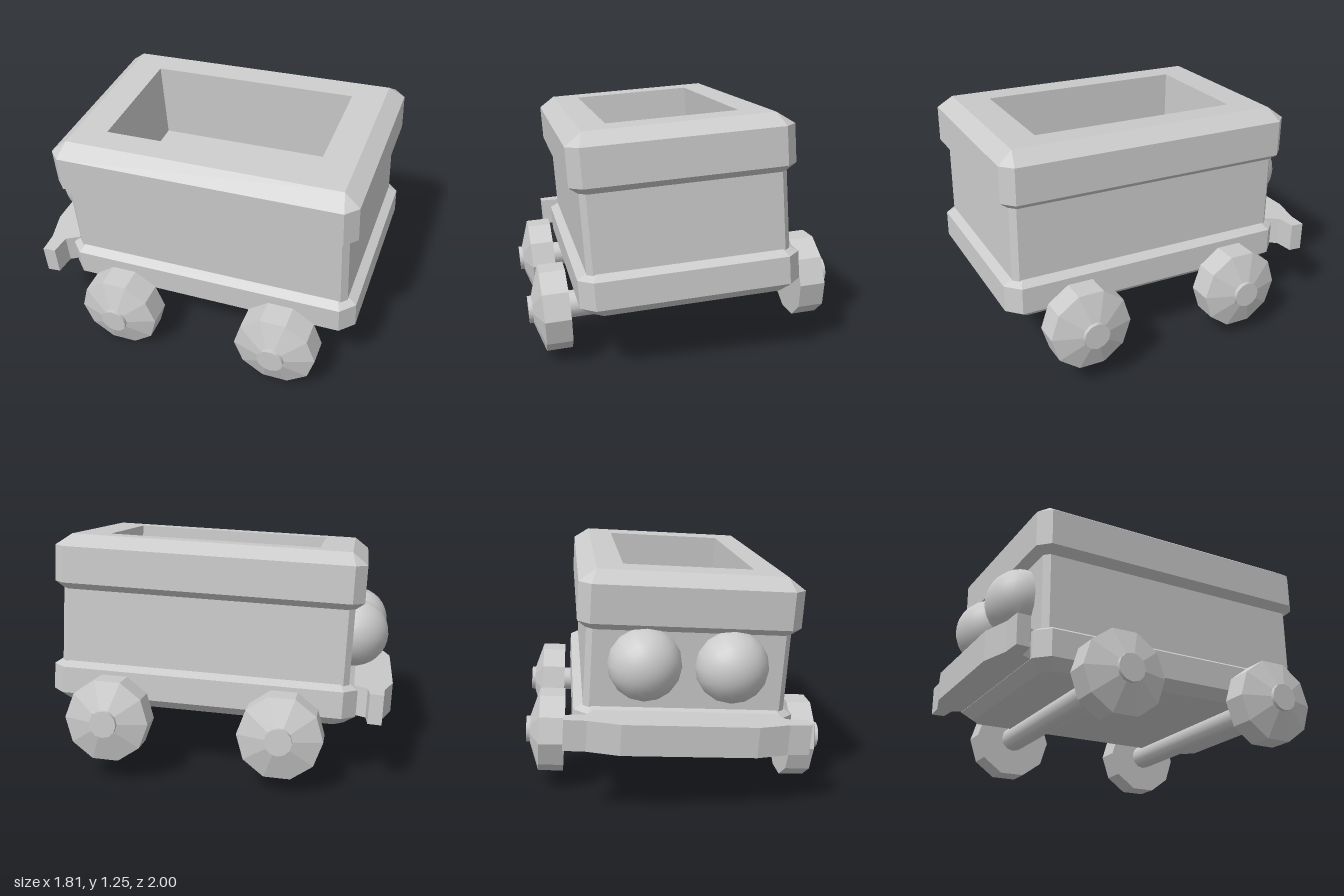
import * as THREE from 'three';

const flat = new THREE.MeshStandardMaterial({ color: 0xcccccc, flatShading: true });
const smooth = new THREE.MeshStandardMaterial({ color: 0xcccccc });

function part(name, geometry, material, parent) {
  const mesh = new THREE.Mesh(geometry, material);
  mesh.name = name;
  parent.add(mesh);
  return mesh;
}

// Rectangle with cut corners: half width, half length, corner cut, height
function ring([w, d, c, y]) {
  return [
    [w, d - c], [w - c, d], [c - w, d], [-w, d - c],
    [-w, c - d], [c - w, -d], [w - c, -d], [w, c - d],
  ].map(([x, z]) => [x, y, z]);
}

// Skin between successive cut-corner rectangles
function loft(sections) {
  const rings = sections.map(ring);
  const pos = [];
  for (let i = 0; i < rings.length - 1; i++) {
    for (let j = 0; j < 8; j++) {
      const k = (j + 1) % 8;
      const a = rings[i][j], b = rings[i][k], c = rings[i + 1][j], d = rings[i + 1][k];
      pos.push(...a, ...c, ...b, ...b, ...c, ...d);
    }
  }
  const g = new THREE.BufferGeometry();
  g.setAttribute('position', new THREE.Float32BufferAttribute(pos, 3));
  g.computeVertexNormals();
  return g;
}

export function createModel() {
  const model = new THREE.Group();
  model.name = 'mineCart';
  const cart = new THREE.Group();
  cart.name = 'cart';
  cart.position.set(0, 0.27, 0.08);
  cart.rotation.set(-0.042, 0.311, 0.061, 'YXZ');
  model.add(cart);

  // Bevelled chassis slab
  part('chassis', loft([
    [0, 0, 0, 0.03], [0.49, 0.75, 0.05, 0.03], [0.55, 0.81, 0.07, 0.08],
    [0.55, 0.81, 0.07, 0.22], [0.5, 0.76, 0.04, 0.25], [0, 0, 0, 0.25],
  ]), flat, cart);

  // Straight walls
  part('body', loft([[0.505, 0.765, 0.03, 0.22], [0.505, 0.765, 0.03, 0.66]]), flat, cart);

  // Overhanging rim, running over the top and down into the load space
  part('rimAndLoadSpace', loft([
    [0.5, 0.76, 0.03, 0.63], [0.55, 0.81, 0.06, 0.67], [0.55, 0.81, 0.06, 0.86],
    [0.465, 0.73, 0, 0.92], [0.33, 0.56, 0, 0.92], [0.33, 0.56, 0, 0.49], [0, 0, 0, 0.49],
  ]), flat, cart);

  // Axles, each with two tapered wheels
  const wheelProfile = [[0, 0.587], [0.218, 0.587], [0.218, 0.717], [0.07, 0.765]]
    .map(([r, h]) => new THREE.Vector2(r, h));
  for (const [label, z] of [['front', 0.445], ['back', -0.445]]) {
    const axle = part(label + 'Axle',
      new THREE.CylinderGeometry(0.07, 0.07, 1.57, 12).rotateZ(Math.PI / 2), smooth, cart);
    axle.geometry = axle.geometry.toNonIndexed();
    axle.position.z = z;
    for (const [side, turn] of [['Left', -1], ['Right', 1]]) {
      const wheel = part(label + side + 'Wheel',
        new THREE.LatheGeometry(wheelProfile, 10).rotateZ(turn * Math.PI / 2), flat, cart);
      wheel.position.z = z;
    }
  }

  // Domed lamps on the back wall
  for (const s of [-1, 1]) {
    const lamp = part(s > 0 ? 'leftLamp' : 'rightLamp',
      new THREE.SphereGeometry(0.183, 16, 8, 0, Math.PI * 2, 0, Math.PI / 2).rotateX(-Math.PI / 2),
      smooth, cart);
    lamp.position.set(s * 0.215, 0.47, -0.765);
  }

  // Bumper with swept ends, mirrored outline extruded upright
  const half = [[0.33, -0.99], [0.49, -0.945], [0.6, -0.94], [0.595, -0.87], [0.49, -0.86], [0.45, -0.79]];
  const outline = [...half, ...half.map(([x, z]) => [-x, z]).reverse()];
  const shape = new THREE.Shape(outline.map(([x, z]) => new THREE.Vector2(x, z)));
  const bumper = part('bumper',
    new THREE.ExtrudeGeometry(shape, { depth: 0.155, bevelEnabled: false }).rotateX(Math.PI / 2),
    flat, cart);
  bumper.position.y = 0.237;

  return model;
}
